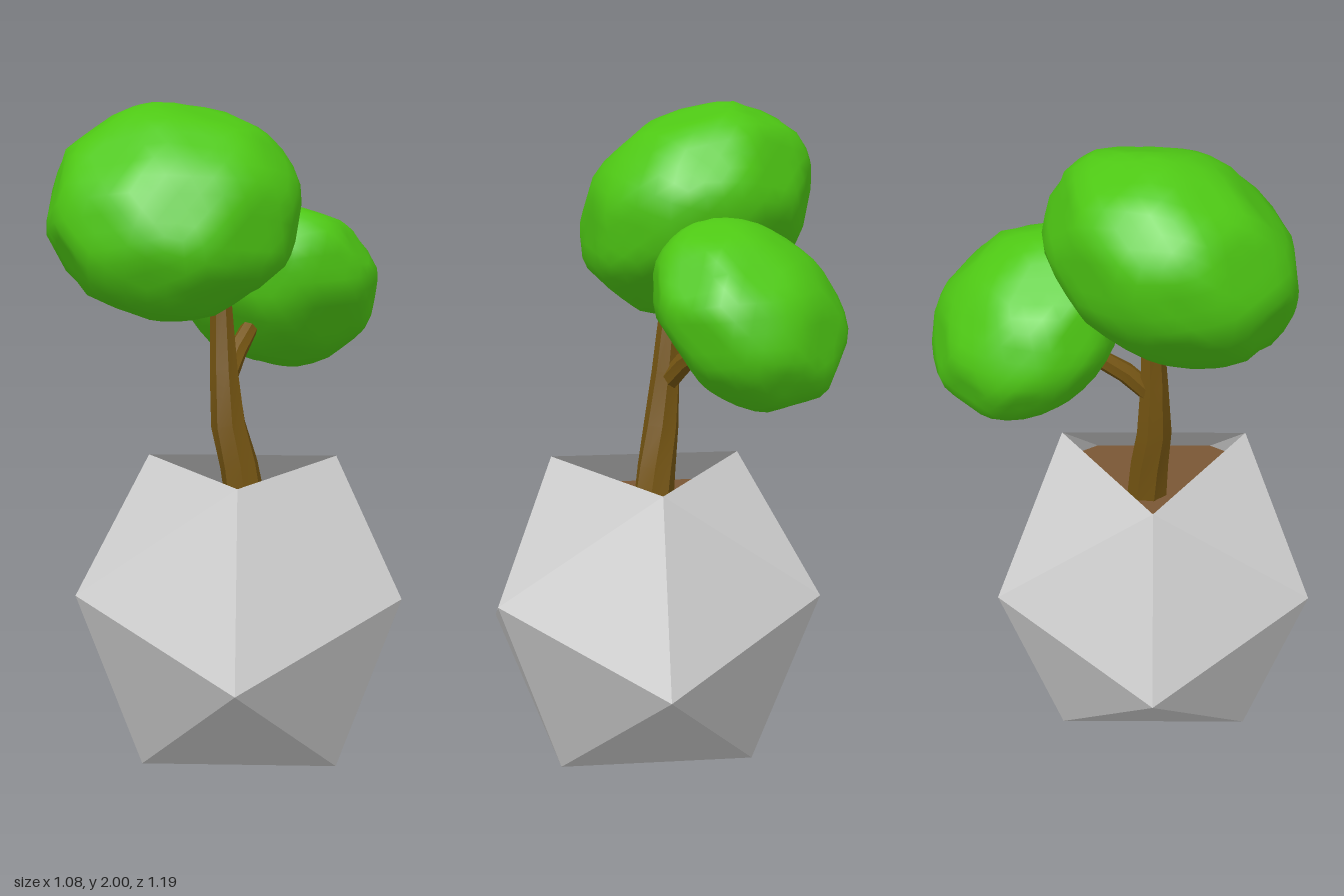
import * as THREE from 'three';
import { mergeVertices, toCreasedNormals } from 'three/addons/utils/BufferGeometryUtils.js';

const mat = (color, extra = {}) => new THREE.MeshStandardMaterial({ color, ...extra });
const V = (x, y, z) => new THREE.Vector3(x, y, z);

function addMesh(parent, name, geometry, material) {
  const mesh = new THREE.Mesh(geometry, material);
  mesh.name = name;
  parent.add(mesh);
  return mesh;
}

function trianglesToGeometry(points) {
  const g = new THREE.BufferGeometry().setFromPoints(points);
  g.computeVertexNormals();
  return g;
}

// Three points evenly spaced round the pot axis
const ring = (radius, y, start) => [0, 1, 2].map((k) => {
  const a = start + (k * Math.PI * 2) / 3;
  return V(0.053 + radius * Math.sin(a), y, 0.042 + radius * Math.cos(a));
});

// Icosahedron standing on a face, with the top face left open
const T = ring(0.342, 0.905, 0);
const U = ring(0.555, 0.565, Math.PI / 3);
const L = ring(0.555, 0.352, 0);
const B = ring(0.342, 0.005, Math.PI / 3);

function potGeometry() {
  const p = [];
  for (let k = 0; k < 3; k++) {
    const n = (k + 1) % 3, m = (k + 2) % 3;
    p.push(T[k], U[k], T[n], T[k], L[k], U[k], T[n], U[k], L[n]);
    p.push(L[k], B[k], U[k], U[k], B[k], L[n], L[k], B[m], B[k]);
  }
  p.push(B[0], B[2], B[1]);
  return trianglesToGeometry(p);
}

// Flat slice through the pot, slightly below the rim
function soilGeometry(y) {
  const cut = (a, b) => a.clone().lerp(b, (a.y - y) / (a.y - b.y));
  const edge = [];
  for (let k = 0; k < 3; k++) {
    edge.push(cut(T[k], L[k]), cut(T[k], U[k]), cut(T[(k + 1) % 3], U[k]));
  }
  const p = [], centre = V(0.053, y, 0.042);
  edge.forEach((e, i) => p.push(centre, e, edge[(i + 1) % edge.length]));
  return trianglesToGeometry(p);
}

// Tapered limb swept through [x, y, z, radius] stations
function limbGeometry(stations, sides = 7) {
  const rings = stations.map(([x, y, z, r], j) => {
    const a = stations[Math.max(j - 1, 0)], b = stations[Math.min(j + 1, stations.length - 1)];
    const dir = V(b[0] - a[0], b[1] - a[1], b[2] - a[2]).normalize();
    const q = new THREE.Quaternion().setFromUnitVectors(V(0, 1, 0), dir);
    return Array.from({ length: sides }, (_, i) => {
      const t = (i / sides) * Math.PI * 2 + j * 0.12;
      return V(r * Math.sin(t), 0, r * Math.cos(t)).applyQuaternion(q).add(V(x, y, z));
    });
  });
  const p = [];
  for (let j = 0; j < rings.length - 1; j++) {
    for (let i = 0; i < sides; i++) {
      const n = (i + 1) % sides;
      const [a, b, c, d] = [rings[j][i], rings[j][n], rings[j + 1][n], rings[j + 1][i]];
      p.push(a, b, c, a, c, d);
    }
  }
  return toCreasedNormals(trianglesToGeometry(p), 0.5);
}

// Ball planed flat in evenly scattered directions, softly shaded
function foliageGeometry(turn) {
  const count = 26;
  const planes = Array.from({ length: count }, (_, i) => {
    const y = 1 - (2 * i + 1) / count, r = Math.sqrt(1 - y * y), a = i * 2.39996 + turn;
    return { n: V(r * Math.cos(a), y, r * Math.sin(a)), d: 0.945 + 0.025 * Math.sin(i * 5.3 + turn) };
  });
  let g = new THREE.IcosahedronGeometry(1, 6);
  g.deleteAttribute('normal');
  g.deleteAttribute('uv');
  g = mergeVertices(g, 1e-4);
  const pos = g.attributes.position, v = V(0, 0, 0);
  for (let i = 0; i < pos.count; i++) {
    v.fromBufferAttribute(pos, i).normalize();
    let r = 1;
    for (const { n, d } of planes) {
      const c = n.dot(v);
      if (c > 0.5) r = Math.min(r, d / c);
    }
    v.multiplyScalar(r);
    pos.setXYZ(i, v.x, v.y, v.z);
  }
  g.computeVertexNormals();
  return g;
}

export function createModel() {
  const model = new THREE.Group();
  model.name = 'pottedTree';

  // Planter
  addMesh(model, 'pot', potGeometry(), mat(0xcccccc, { flatShading: true, side: THREE.DoubleSide }));
  addMesh(model, 'soil', soilGeometry(0.78), mat(0x7a5735, { side: THREE.DoubleSide }));

  // Trunk and side branch
  const bark = mat(0x755512);
  addMesh(model, 'trunk', limbGeometry([
    [0.075, 0.74, 0.03, 0.065], [0.047, 0.905, 0.025, 0.06], [0.015, 1.03, 0.022, 0.055],
    [0.0, 1.2, 0.012, 0.044], [-0.01, 1.4, 0.0, 0.034], [-0.05, 1.65, 0.0, 0.028],
  ]), bark);
  addMesh(model, 'branch', limbGeometry([
    [0.005, 1.16, 0.01, 0.032], [0.035, 1.24, -0.065, 0.032],
    [0.075, 1.31, -0.16, 0.028], [0.15, 1.42, -0.3, 0.022],
  ]), bark);

  // Two leaning crowns
  const leaf = mat(0x4ec814);
  const crowns = [
    ['largeCrown', [-0.155, 1.68, -0.02], [0.395, 0.298, 0.382], 0.61, 0.4],
    ['smallCrown', [0.17, 1.42, -0.325], [0.318, 0.228, 0.318], -0.75, 1.7],
  ];
  for (const [name, at, size, tilt, turn] of crowns) {
    const crown = addMesh(model, name, foliageGeometry(turn), leaf);
    crown.position.set(...at);
    crown.scale.set(...size);
    crown.rotation.x = tilt;
  }
  return model;
}
